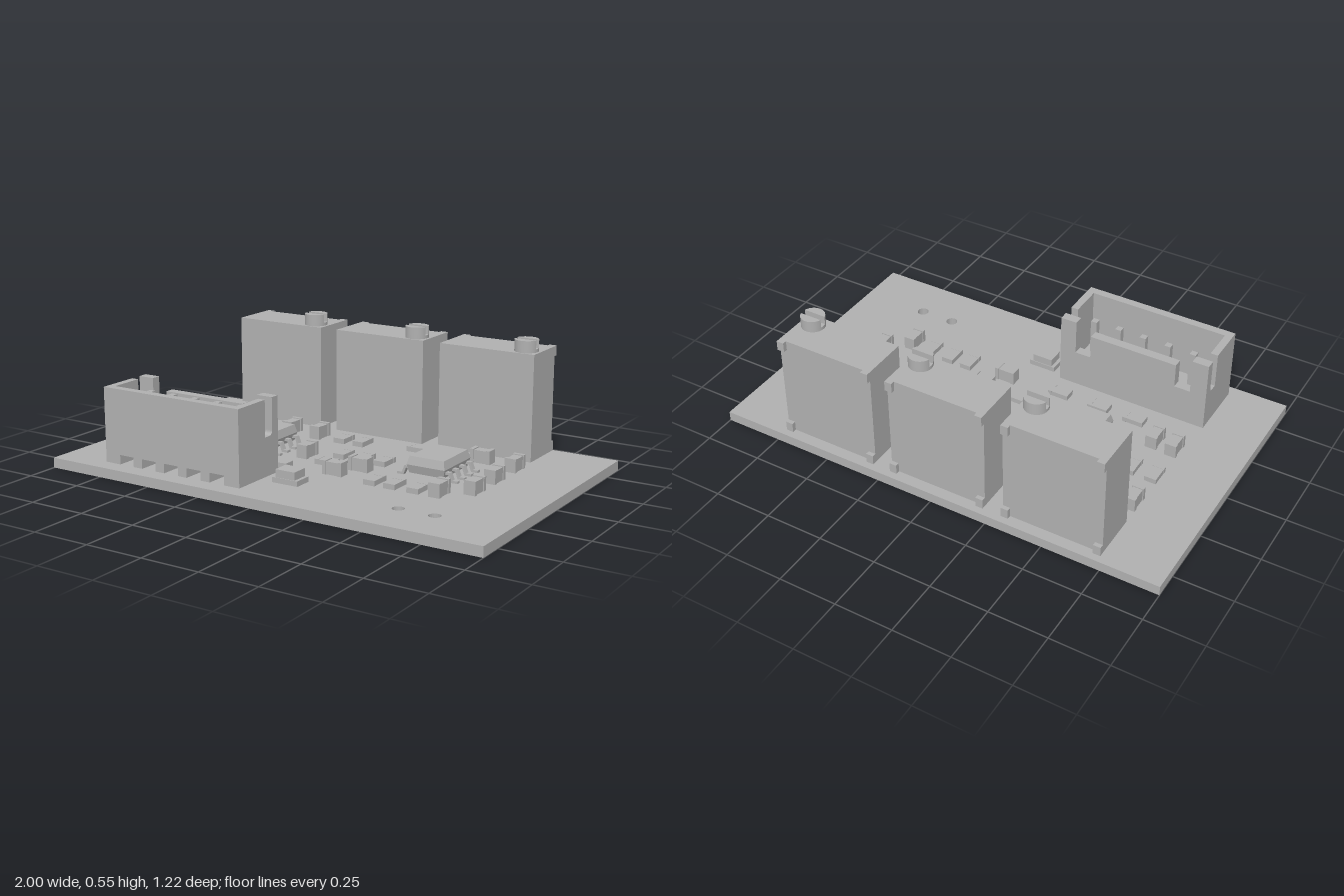
import * as THREE from 'three';

const TOP = 0.043; // board surface height

export function createModel() {
  const root = new THREE.Group();
  const grey = new THREE.MeshStandardMaterial({ color: 0xb0b0b0 });
  grey.name = 'plain grey';

  const add = (parent, name, geo, x = 0, y = 0, z = 0) => {
    const m = new THREE.Mesh(geo, grey);
    m.name = name;
    m.position.set(x, y, z);
    parent.add(m);
    return m;
  };
  // box given by its limits
  const box = (parent, name, x0, x1, y0, y1, z0, z1) =>
    add(parent, name, new THREE.BoxGeometry(x1 - x0, y1 - y0, z1 - z0),
      (x0 + x1) / 2, (y0 + y1) / 2, (z0 + z1) / 2);
  const group = (name, x = 0, z = 0) => {
    const g = new THREE.Group();
    g.name = name;
    g.position.set(x, 0, z);
    root.add(g);
    return g;
  };
  const shapeOf = (pts) => new THREE.Shape(pts.map(([x, y]) => new THREE.Vector2(x, y)));
  const extrude = (shape, depth, curveSegments = 8) =>
    new THREE.ExtrudeGeometry(shape, { depth, bevelEnabled: false, curveSegments });

  const potX = [-0.525, -0.012, 0.5];
  const pinX = [-2, -1, 0, 1, 2].map((i) => i * 0.114);
  const conX = -0.4225;

  // circuit board with drilled holes (shape y runs towards -z)
  const plate = shapeOf([[-1, -0.612], [1, -0.612], [1, 0.612], [-1, 0.612]]);
  const drill = (x, z, r) => {
    const p = new THREE.Path();
    p.absarc(x, -z, r, 0, Math.PI * 2, true);
    plate.holes.push(p);
  };
  drill(0.545, 0.415, 0.025);
  drill(0.7, 0.415, 0.025);
  drill(-0.012, 0.375, 0.009);
  pinX.forEach((x) => drill(conX + x, 0.4, 0.018));
  potX.forEach((x) => [-0.112, 0, 0.112].forEach((d) => drill(x + d, -0.465, 0.017)));
  add(root, 'board', extrude(plate, TOP, 10)).rotation.x = -Math.PI / 2;

  // trimmer potentiometers
  const halfScrew = new THREE.Shape();
  const a = Math.asin(0.013 / 0.05);
  halfScrew.absarc(0, 0, 0.05, a, Math.PI - a, false);
  for (const x of potX) {
    const g = group('trimmer', x);
    box(g, 'trimmerBody', -0.216, 0.216, 0.05, 0.502, -0.57, -0.37);
    for (const s of [-1, 1]) for (const y of [0.05, 0.46]) {
      box(g, 'cornerFoot', s * 0.2 - 0.016, s * 0.2 + 0.016, y, y + 0.042, -0.588, -0.57);
    }
    // slotted adjusting screw
    add(g, 'screwBase', new THREE.CylinderGeometry(0.05, 0.05, 0.016, 32), 0.155, 0.508, -0.426);
    for (const s of [0, Math.PI]) {
      const h = add(g, 'screwHalf', extrude(halfScrew, 0.036, 20), 0.155, 0.516, -0.426);
      h.rotation.set(-Math.PI / 2, 0, s);
    }
    for (const d of [-0.112, 0, 0.112]) {
      add(g, 'trimmerPin', new THREE.CylinderGeometry(0.011, 0.011, 0.045, 12), d, 0.028, -0.465);
    }
  }

  // five-pin header shroud
  const con = group('connector', conX);
  const W = 0.337, H = 0.367;
  const half = [[W, 0.05], [W, H], [0.265, H], [0.265, 0.213], [0.195, 0.213], [0.195, 0.32]];
  const back = [...half, ...half.map(([x, y]) => [-x, y]).reverse()];
  add(con, 'backWall', extrude(shapeOf(back), 0.04), 0, 0, 0.29);
  const side = new THREE.Shape();
  side.moveTo(0.33, 0.05);
  side.lineTo(0.555, 0.05);
  side.lineTo(0.555, H);
  side.lineTo(0.378, H);
  side.lineTo(0.378, 0.213);
  side.lineTo(0.35, 0.213);
  side.quadraticCurveTo(0.33, 0.213, 0.33, 0.233);
  for (const x of [W, -W + 0.032]) {
    add(con, 'sideWall', extrude(side, 0.032), x).rotation.y = -Math.PI / 2;
  }
  const inner = W - 0.032;
  box(con, 'frontWall', -inner, inner, 0.11, H, 0.52, 0.555);
  box(con, 'floor', -inner, inner, 0.05, 0.11, 0.33, 0.42);
  // notched front lower edge
  const comb = [[inner, 0.05], [inner, 0.11], [-inner, 0.11], [-inner, 0.05]];
  pinX.forEach((x) => comb.push([x - 0.035, 0.05], [x - 0.035, 0.09], [x + 0.035, 0.09], [x + 0.035, 0.05]));
  add(con, 'notchedFloor', extrude(shapeOf(comb.reverse()), 0.135), 0, 0, 0.42);
  for (const x of pinX) box(con, 'contactPin', x - 0.0135, x + 0.0135, 0.005, 0.33, 0.377, 0.404);

  // eight-lead chips: body is tapered above and below its middle
  const taper = (w, d, h, k) => {
    const g = new THREE.BoxGeometry(w, h, d, 1, 2, 1);
    const p = g.attributes.position;
    for (let i = 0; i < p.count; i++) {
      if (Math.abs(p.getY(i)) < 1e-4) continue;
      p.setX(i, p.getX(i) - Math.sign(p.getX(i)) * k);
      p.setZ(i, p.getZ(i) - Math.sign(p.getZ(i)) * k);
    }
    const flat = g.toNonIndexed();
    flat.computeVertexNormals();
    return flat;
  };
  const lead = shapeOf([[0.07, 0.083], [0.103, 0.083], [0.115, 0.053], [0.137, 0.053], [0.137, 0.043],
    [0.107, 0.043], [0.096, 0.073], [0.07, 0.073]].reverse());
  for (const [x, z] of [[-0.355, -0.01], [0.453, -0.065]]) {
    const g = group('chip', x, z);
    add(g, 'chipBody', taper(0.172, 0.22, 0.07, 0.009), 0, 0.092, 0);
    for (const s of [0, Math.PI]) for (const i of [-1.5, -0.5, 0.5, 1.5]) {
      const arm = new THREE.Group();
      arm.name = 'chipLead';
      arm.rotation.y = s;
      add(arm, 'leadStrip', extrude(lead, 0.02), 0, 0, i * 0.058 - 0.01);
      g.add(arm);
    }
  }

  // small parts: [x, z, lies along x]
  const chipPart = (name, x, z, along, w, h, waist) => {
    const g = group(name, x, z);
    if (along) g.rotation.y = Math.PI / 2;
    box(g, 'partBody', -w / 2 + waist, w / 2 - waist, TOP, TOP + h - waist, -0.03, 0.03);
    for (const s of [-1, 1]) {
      box(g, 'partTerminal', -w / 2, w / 2, TOP, TOP + h, s * 0.037 - 0.0085, s * 0.037 + 0.0085);
    }
  };
  const flats = [
    [-0.615, -0.255], [-0.115, -0.255], [-0.02, -0.255], [0.235, -0.29, 1], [-0.715, -0.07],
    [-0.615, -0.07], [0.01, -0.055], [0.112, -0.055], [0.208, -0.055], [-0.492, 0.198, 1],
    [-0.326, 0.198, 1], [-0.139, 0.198, 1], [0.01, 0.075, 1], [0.305, 0.187], [0.396, 0.187], [0.5, 0.187],
  ];
  const talls = [
    [-0.715, -0.255], [-0.385, -0.255], [-0.24, -0.255], [0.535, -0.29, 1], [0.695, -0.265],
    [-0.123, 0.02], [0.695, -0.083], [0.695, 0.087], [-0.715, 0.112], [-0.625, 0.118],
    [0.171, 0.075, 1], [0.112, 0.177, 1], [0.594, 0.187],
  ];
  for (const [x, z, along] of flats) chipPart('resistor', x, z, along, 0.052, 0.022, 0.001);
  for (const [x, z, along] of talls) chipPart('capacitor', x, z, along, 0.05, 0.058, 0.004);

  // indicator lamp
  box(root, 'lampBase', -0.04, 0.08, TOP, 0.065, 0.32, 0.4);
  box(root, 'lampTop', -0.025, 0.065, 0.065, 0.098, 0.323, 0.397);

  return root;
}
